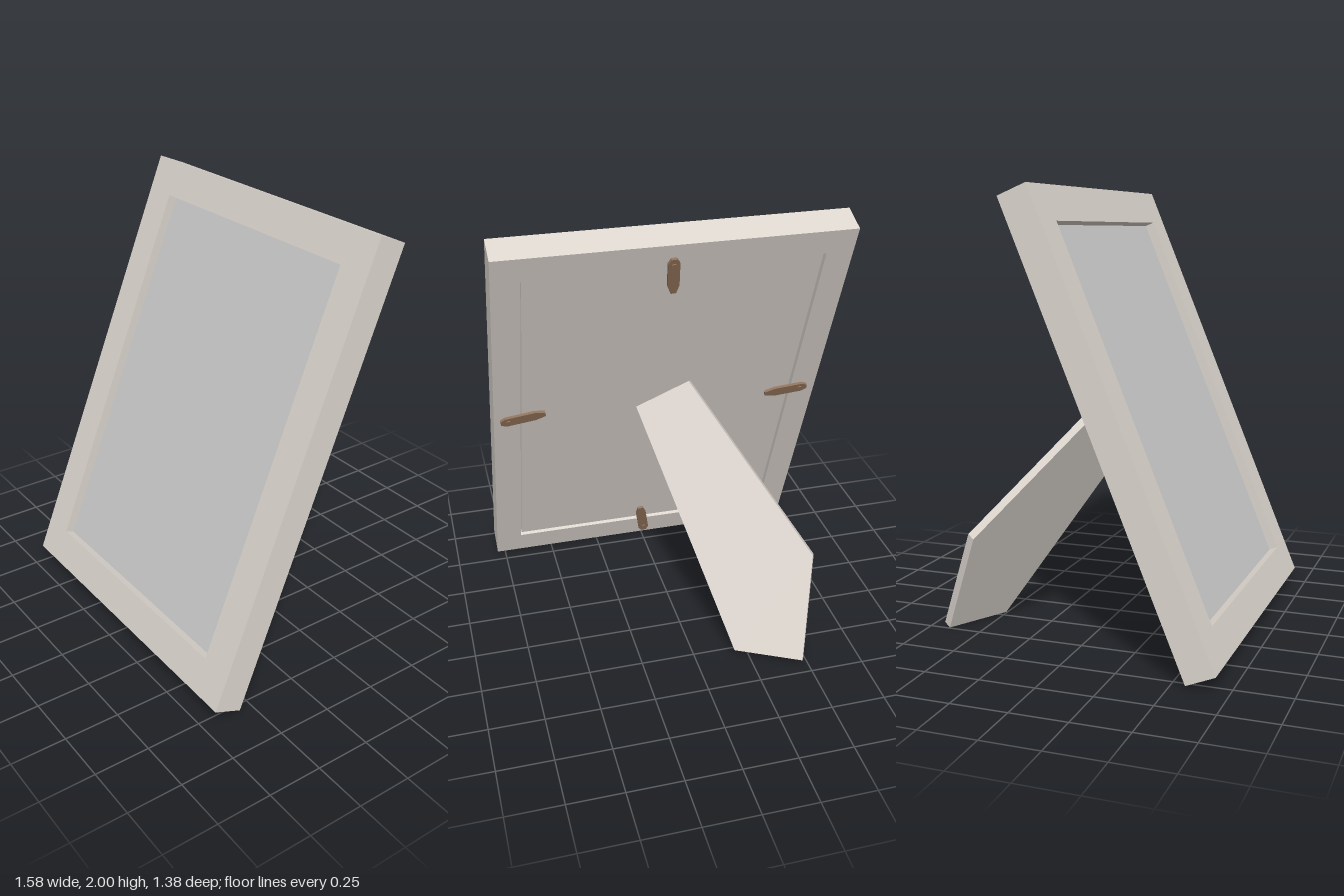
import * as THREE from 'three';

const frameMat = new THREE.MeshStandardMaterial({ color: 0xdcd5ce });
const paneMat = new THREE.MeshStandardMaterial({ color: 0xcccccc });
const clipMat = new THREE.MeshStandardMaterial({ color: 0x8f715a });

const W = 1.58, H = 2.098, T = 0.137; // frame width, height, thickness

function rectPoints(w, h) {
  return [[-w, -h], [w, -h], [w, h], [-w, h]].map(([x, y]) => new THREE.Vector2(x / 2, y / 2));
}

function extrude(points, depth, hole) {
  const shape = new THREE.Shape(points);
  if (hole) shape.holes.push(new THREE.Path(hole));
  return new THREE.ExtrudeGeometry(shape, { depth, bevelEnabled: false });
}

function add(parent, name, geometry, material, x = 0, y = 0, z = 0) {
  const mesh = new THREE.Mesh(geometry, material);
  mesh.name = name;
  mesh.position.set(x, y, z);
  parent.add(mesh);
  return mesh;
}

// Turn button that holds the backing, from its outer to its inner end
function addClip(parent, name, outer, inner) {
  const a = new THREE.Vector2(...outer), b = new THREE.Vector2(...inner);
  const dir = b.clone().sub(a), l = dir.length() / 2;
  const outline = [
    [-l, -0.012], [-l * 0.75, -0.026], [l * 0.55, -0.026], [l, -0.012],
    [l, 0.012], [l * 0.55, 0.026], [-l * 0.75, 0.026], [-l, 0.012],
  ].map(([x, y]) => new THREE.Vector2(x, y));
  const clip = new THREE.Group();
  clip.name = name;
  clip.position.set((a.x + b.x) / 2, (a.y + b.y) / 2, -T / 2 - 0.014);
  clip.rotation.z = dir.angle();
  add(clip, 'clipPlate', extrude(outline, 0.014), clipMat);
  const screw = new THREE.CylinderGeometry(0.012, 0.012, 0.01, 10).rotateX(Math.PI / 2);
  add(clip, 'clipScrew', screw, clipMat, -l * 0.65, 0, 0);
  parent.add(clip);
}

export function createModel() {
  const model = new THREE.Group();
  model.name = 'pictureFrame';

  // Frame assembly, leaning back
  const frame = new THREE.Group();
  frame.name = 'leaningFrame';
  frame.position.set(0, 1.003, 0.226);
  frame.rotation.x = -0.391;
  model.add(frame);

  // Front border with the window, and rear border with a wider rebate
  const seam = 0.0085;
  const outer = rectPoints(W, H);
  add(frame, 'frontBorder', extrude(outer, T / 2 - seam, rectPoints(1.254, 1.774)), frameMat, 0, 0, seam);
  add(frame, 'rearBorder', extrude(outer, T / 2 + seam, rectPoints(1.33, 1.842)), frameMat, 0, 0, -T / 2);

  // Picture pane and backing board
  add(frame, 'picturePane', new THREE.BoxGeometry(1.254, 1.774, 0.025), paneMat, 0, 0, 0.013);
  add(frame, 'backingBoard', new THREE.BoxGeometry(1.318, 1.83, 0.06), frameMat, 0, 0, -0.0245);

  // Clips on all four sides of the back
  addClip(frame, 'topClip', [0.025, 0.98], [0.01, 0.785]);
  addClip(frame, 'bottomClip', [-0.011, -1.02], [0.026, -0.81]);
  addClip(frame, 'leftClip', [0.76, 0.044], [0.55, 0.078]);
  addClip(frame, 'rightClip', [-0.745, 0.05], [-0.534, 0.028]);

  // Stand leg: a flat board, swung out sideways to the right
  const thickness = 0.042;
  const outline = [[0, 0], [0.322, 0], [0.32, 0.5], [-0.34, 1.247], [-0.58, 1.1]]
    .map(([x, y]) => new THREE.Vector2(x, y));
  const along = new THREE.Vector3(-0.285, 0, -0.15).normalize();
  const up = new THREE.Vector3(-0.186, 0.917, 0.353).normalize();
  const normal = along.clone().cross(up).normalize();
  const legGeometry = extrude(outline, thickness).translate(0, 0, -thickness);
  legGeometry.applyMatrix4(new THREE.Matrix4().makeBasis(along, up, normal));
  add(model, 'standLeg', legGeometry, frameMat, -0.19, 0.018, -0.54);

  return model;
}
